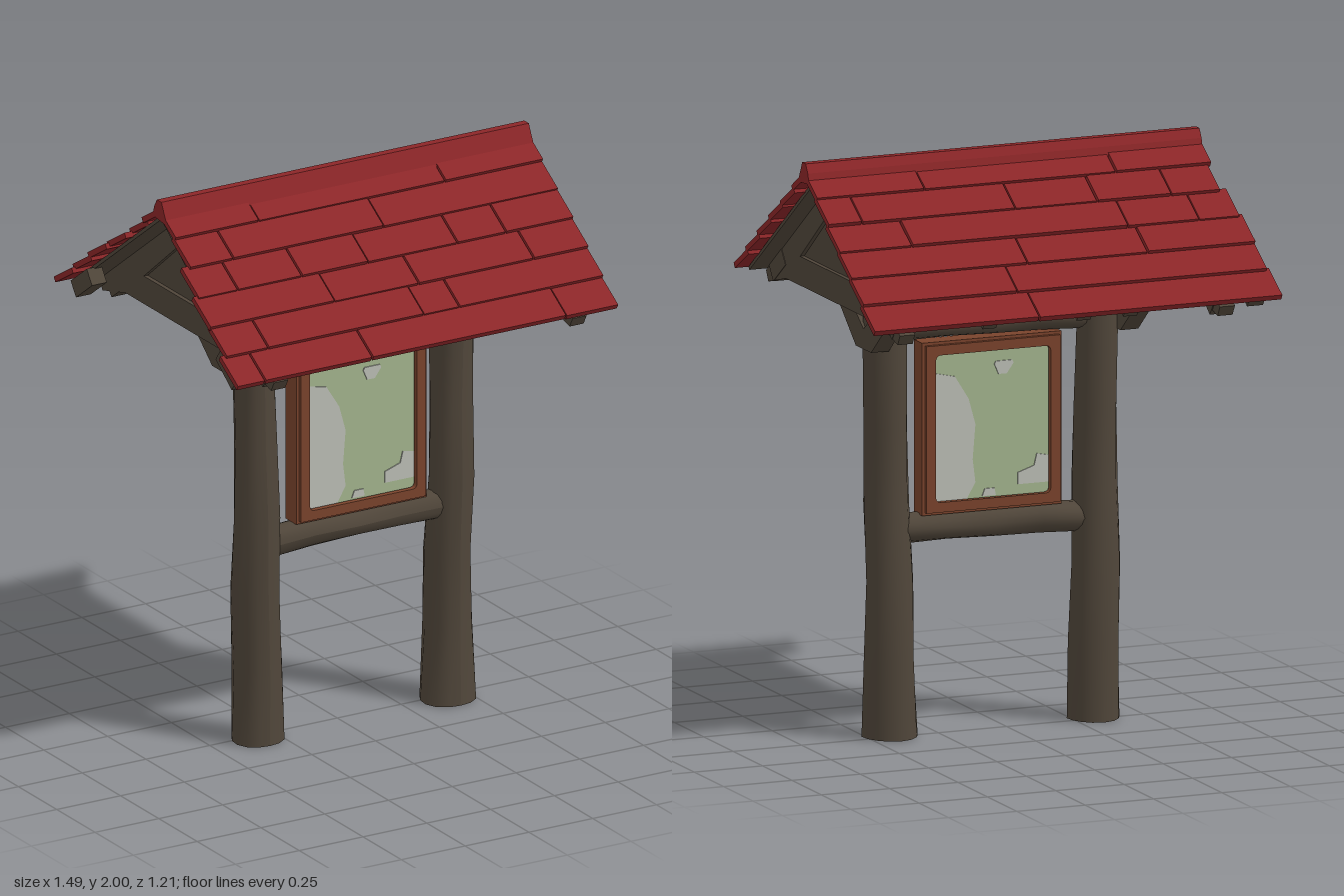
import * as THREE from 'three';

const paint = (name, color, side = THREE.FrontSide) => {
  const m = new THREE.MeshStandardMaterial({ color, side });
  m.name = name;
  return m;
};

export function createModel() {
  const wood = paint('weathered wood', 0x50463a);
  const red = paint('red shingle', 0x8c2628);
  const frameWood = paint('frame wood', 0x7a432c);
  const green = paint('map green', 0xa3b48e);
  const grey = paint('map grey', 0xbcbeb6);

  const model = new THREE.Group();
  model.name = 'noticeBoard';

  const add = (name, geo, mat, parent = model) => {
    const mesh = new THREE.Mesh(geo, mat);
    mesh.name = name;
    parent.add(mesh);
    return mesh;
  };
  const box = (name, w, h, d, x, y, z, mat = wood, parent = model) => {
    const m = add(name, new THREE.BoxGeometry(w, h, d), mat, parent);
    m.position.set(x, y, z);
    return m;
  };
  const poly = (pts) => new THREE.Shape(pts.map(([x, y]) => new THREE.Vector2(x, y)));
  const extrude = (shape, depth) =>
    new THREE.ExtrudeGeometry(shape, { depth, bevelEnabled: false, curveSegments: 6 });

  // Crooked log: evenly spaced rings of [offset x, offset z, radius], bottom first
  const log = (name, length, rings) => {
    const n = rings.length - 1;
    const geo = new THREE.CylinderGeometry(1, 1, length, 14, n);
    const p = geo.attributes.position;
    for (let i = 0; i < p.count; i++) {
      const k = Math.round((p.getY(i) / length + 0.5) * n);
      const [dx, dz, r] = rings[k];
      const a = Math.atan2(p.getZ(i), p.getX(i));
      const wobble = r * (1 + 0.04 * Math.sin(3 * a + k * 1.7));
      p.setX(i, p.getX(i) * wobble + dx);
      p.setZ(i, p.getZ(i) * wobble + dz);
    }
    geo.computeVertexNormals();
    return add(name, geo, wood);
  };

  // Posts
  const postHeight = 1.6;
  log('rightPost', postHeight, [
    [-0.328, 0.022, 0.09], [-0.326, 0.02, 0.085], [-0.33, 0.016, 0.083], [-0.332, 0.026, 0.078],
    [-0.335, 0.022, 0.073], [-0.34, 0.022, 0.07], [-0.34, 0.022, 0.07],
  ]).position.y = postHeight / 2;
  log('leftPost', postHeight, [
    [0.416, 0.022, 0.096], [0.424, 0.014, 0.084], [0.425, 0.012, 0.08], [0.43, 0.026, 0.077],
    [0.432, 0.022, 0.074], [0.436, 0.022, 0.075], [0.437, 0.022, 0.075],
  ]).position.y = postHeight / 2;

  // Cross rails
  for (const [name, y, r] of [['topRail', 1.395, 0.045], ['bottomRail', 0.705, 0.052]]) {
    const rail = log(name, 0.68, [
      [0.008, 0, r * 1.02], [-0.002, 0, r], [0, 0, r * 0.93], [-0.004, 0, r * 0.96], [-0.004, 0, r],
    ]);
    rail.rotation.z = -Math.PI / 2;
    rail.position.set(0.045, y, 0.022);
  }

  // Display case with a map on both faces
  const roundedRect = (path, x0, y0, x1, y1, r) => {
    path.moveTo(x0 + r, y0);
    path.lineTo(x1 - r, y0).quadraticCurveTo(x1, y0, x1, y0 + r);
    path.lineTo(x1, y1 - r).quadraticCurveTo(x1, y1, x1 - r, y1);
    path.lineTo(x0 + r, y1).quadraticCurveTo(x0, y1, x0, y1 - r);
    path.lineTo(x0, y0 + r).quadraticCurveTo(x0, y0, x0 + r, y0);
    return path;
  };
  const board = new THREE.Group();
  board.name = 'displayCase';
  board.position.set(0.06, 1.05, 0.022);
  model.add(board);
  const ring = (w, h, hw, hh, r) => {
    const s = poly([[-w, -h], [w, -h], [w, h], [-w, h]]);
    s.holes.push(roundedRect(new THREE.Path(), -hw, -hh, hw, hh, r));
    return s;
  };
  add('caseFrame', extrude(ring(0.255, 0.297, 0.235, 0.277, 0.01), 0.07), frameWood, board).position.z = -0.035;
  box('mapPanel', 0.48, 0.56, 0.04, 0, 0, 0, green, board);
  const land = [
    [[-0.22, -0.26], [-0.09, -0.26], [-0.055, -0.2], [-0.065, -0.12], [-0.055, 0], [-0.08, 0.09],
      [-0.13, 0.17], [-0.22, 0.19]],
    [[0.015, 0.2], [0.03, 0.165], [0.06, 0.165], [0.085, 0.2], [0.08, 0.21], [0.02, 0.21]],
    [[0.1, -0.22], [0.22, -0.22], [0.22, -0.13], [0.17, -0.12], [0.16, -0.16], [0.1, -0.18]],
    [[-0.03, -0.25], [0.02, -0.25], [0.015, -0.225], [-0.02, -0.225]],
  ];
  for (const turn of [0, Math.PI]) {
    const face = new THREE.Group();
    face.name = turn ? 'backFace' : 'frontFace';
    face.rotation.y = turn;
    board.add(face);
    add('doorFrame', extrude(ring(0.245, 0.287, 0.21, 0.253, 0.02), 0.02), frameWood, face).position.z = 0.03;
    for (const pts of land) add('mapArea', extrude(poly(pts), 0.004), grey, face).position.z = 0.02;
  }

  // Roof slopes: d runs down from the ridge, n is the offset along the outward normal
  const slope = Math.atan2(0.43, 0.585);
  const ridgeY = 1.955;
  const onSlope = (name, side, x, w, d, n, length, thick, mat, tilt = 0) => {
    const y = ridgeY - d * Math.sin(slope) + n * Math.cos(slope);
    const z = side * (d * Math.cos(slope) + n * Math.sin(slope));
    const m = box(name, w, thick, length, x, y, z, mat);
    m.rotation.x = side * (slope + tilt);
    return m;
  };

  // Shingle rows, eave first: right-hand edge followed by the joints
  const rows = {
    1: [[-0.75, -0.64, -0.22, 0.54], [-0.735, -0.57, 0.04, 0.18], [-0.74, -0.25, 0.08, 0.53],
      [-0.725, -0.57, -0.32, -0.06, 0.29, 0.48], [-0.7, -0.53, 0.06], [-0.7, -0.37, 0.36]],
    [-1]: [[-0.75, 0.14], [-0.735, 0.18], [-0.735, -0.34, 0.1], [-0.72, -0.57, -0.31, 0.48],
      [-0.69, -0.51, -0.24, 0.06, 0.62], [-0.7, -0.35, 0.35]],
  };
  const rowStep = 0.122;
  for (const side of [1, -1]) {
    rows[side].forEach((row, r) => {
      const ends = [...row, 0.74];
      const low = 0.732 - r * rowStep;
      for (let i = 0; i < row.length; i++) {
        const gap = i < row.length - 1 ? 0.006 : 0;
        const w = ends[i + 1] - ends[i] - gap;
        const lift = 0.002 * ((i + r) % 3);
        onSlope('shingle', side, ends[i] + w / 2, w, low - 0.068, 0.005 + lift, 0.136, 0.02, red, -0.09);
      }
    });
    onSlope('roofDeck', side, 0.005, 1.39, 0.36, -0.014, 0.7, 0.012, wood);

    // Rafters, and short tails at the gable ends
    for (const x of [-0.235, -0.065, 0.28]) onSlope('rafter', side, x, 0.05, 0.35, -0.045, 0.66, 0.06, wood);
    for (const [x, n] of [[-0.69, -0.045], [-0.56, -0.07], [0.608, -0.05]])
      onSlope('rafterTail', side, x, 0.058, 0.62, n, 0.13, 0.06, wood);
    box('wallPlate', 1.18, 0.05, 0.05, 0.025, 1.565, side * 0.36, wood);
  }

  // Ridge cap
  const cap = extrude(poly([[-0.04, 1.935], [0.055, 1.925], [0.03, 1.975], [0.018, 2], [-0.012, 2], [-0.03, 1.97]]), 1.44);
  const capMesh = add('ridgeCap', cap, red);
  capMesh.rotation.y = -Math.PI / 2;
  capMesh.position.x = 0.74;

  // Gable trusses with recessed panels
  for (const x of [0.635, -0.535]) {
    const truss = poly([[-0.55, 1.475], [-0.4, 1.515], [0.4, 1.515], [0.55, 1.475], [0.57, 1.51], [0, 1.93], [-0.57, 1.51]]);
    const opening = [[-0.28, 1.615], [0.28, 1.615], [0, 1.84]];
    truss.holes.push(new THREE.Path(opening.map(([a, b]) => new THREE.Vector2(a, b))));
    const frame = add('gableTruss', extrude(truss, 0.055), wood);
    const panel = add('gablePanel', extrude(poly([[-0.32, 1.6], [0.32, 1.6], [0, 1.86]]), 0.025), wood);
    frame.rotation.y = panel.rotation.y = -Math.PI / 2;
    frame.position.x = x;
    panel.position.x = x - 0.015;
  }

  // Tie beams and diagonal braces on each post, and the beam joining them
  for (const [x, braceX] of [[-0.34, -0.425], [0.437, 0.487]]) {
    box('tieBeam', 0.08, 0.07, 0.84, x, 1.555, 0);
    for (const side of [1, -1]) {
      const brace = add('brace', extrude(poly([
        [side * 0.0, 1.34], [side * 0.065, 1.34], [side * 0.29, 1.53], [side * 0.17, 1.53], [side * 0.0, 1.41],
      ]), 0.065), wood);
      brace.rotation.y = -Math.PI / 2;
      brace.position.set(braceX + 0.0325, 0, 0.01);
    }
  }
  box('ridgeBeam', 1.18, 0.06, 0.09, 0.025, 1.6, 0.02);

  return model;
}
